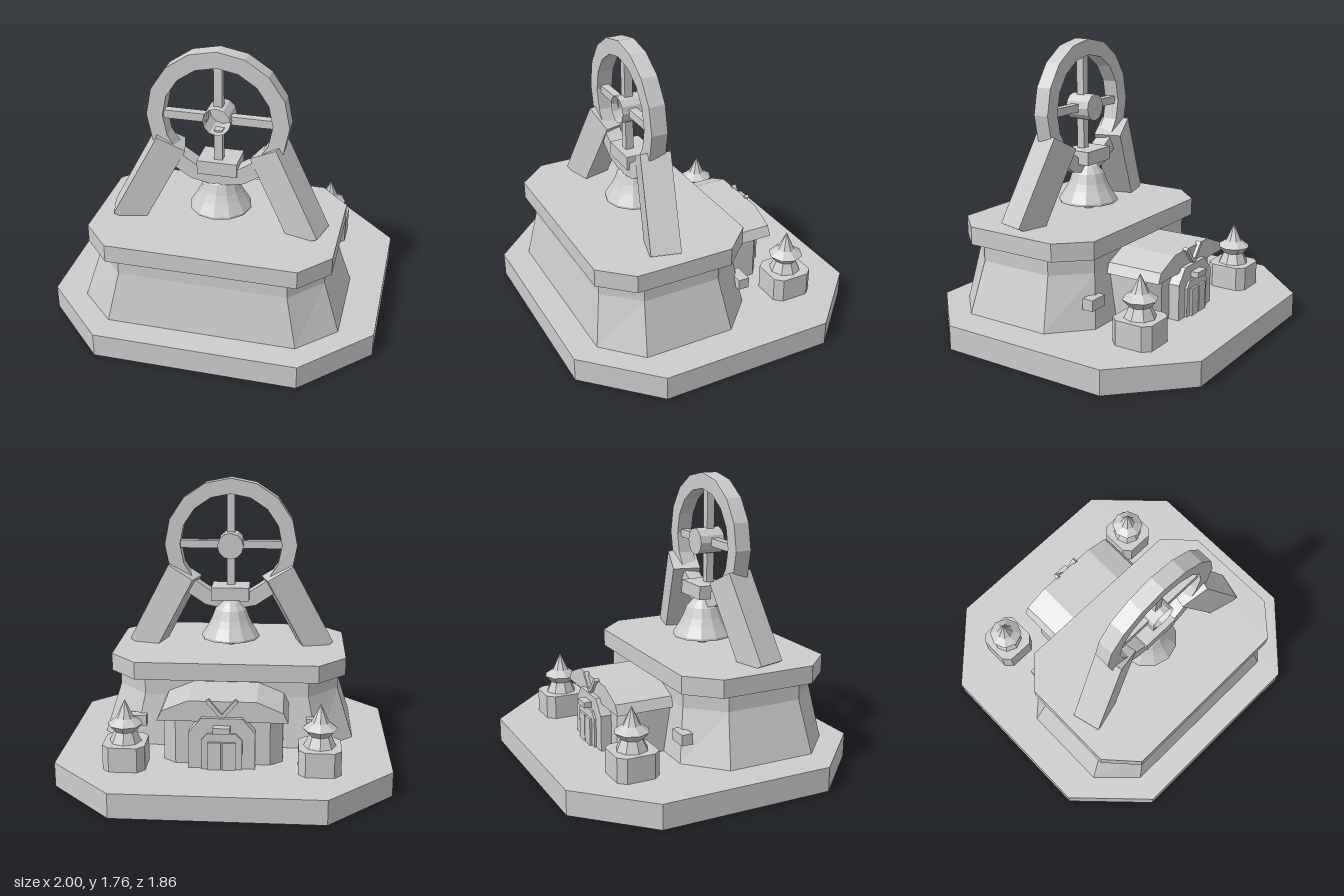
import * as THREE from 'three';

const stone = new THREE.MeshStandardMaterial({ color: 0xcccccc, flatShading: true, side: THREE.DoubleSide });
stone.name = 'grey stone';

function add(parent, name, geometry, x = 0, y = 0, z = 0) {
  const mesh = new THREE.Mesh(geometry, stone);
  mesh.name = name;
  mesh.position.set(x, y, z);
  parent.add(mesh);
  return mesh;
}

const box = (w, h, d) => new THREE.BoxGeometry(w, h, d);
// Faceted lathe: separate triangles keep every face flat
const lathe = (points, sides) =>
  new THREE.LatheGeometry(points.map(([r, y]) => new THREE.Vector2(r, y)), sides);

// Stacked chamfered rectangles; each layer: y, half width, half chamfer-start width,
// front z, front chamfer z, back chamfer z, back z
function chamferedStack(layers, openBelow = false) {
  const positions = [], index = [];
  for (const [y, w, c, f, fc, bc, b] of layers) {
    const ring = [[c, f], [w, fc], [w, bc], [c, b], [-c, b], [-w, bc], [-w, fc], [-c, f]];
    for (const [x, z] of ring) positions.push(x, y, z);
  }
  const top = (layers.length - 1) * 8;
  for (let l = 0; l < top; l += 8) {
    for (let i = 0; i < 8; i++) {
      const a = l + i, d = l + (i + 1) % 8;
      index.push(a, d, d + 8, a, d + 8, a + 8);
    }
  }
  for (let i = 1; i < 7; i++) {
    if (!openBelow) index.push(0, i + 1, i);
    index.push(top, top + i, top + i + 1);
  }
  const g = new THREE.BufferGeometry();
  g.setAttribute('position', new THREE.Float32BufferAttribute(positions, 3));
  g.setIndex(index);
  const flat = g.toNonIndexed();
  flat.computeVertexNormals();
  return flat;
}

// Outline in x and y, extruded along +z
function plate(points, depth, hole) {
  const toVec = (list) => list.map(([x, y]) => new THREE.Vector2(x, y));
  const shape = new THREE.Shape(toVec(points));
  if (hole) shape.holes.push(new THREE.Path(toVec(hole)));
  return new THREE.ExtrudeGeometry(shape, { depth, bevelEnabled: false });
}

const polygon = (r, n) => Array.from({ length: n }, (_, i) =>
  [r * Math.cos(i * 2 * Math.PI / n), r * Math.sin(i * 2 * Math.PI / n)]);

const arch = (w, c, y0, y1, y2) => [[-w, y0], [w, y0], [w, y1], [c, y2], [-c, y2], [-w, y1]];

function buildPedestal(group) {
  // The base is a shell, hollow underneath
  add(group, 'baseSlab', chamferedStack([0, 0.15].map(
    (y) => [y, 1, 0.61, 0.93, 0.535, -0.535, -0.93]), true));
  add(group, 'pedestal', chamferedStack([
    [0.15, 0.79, 0.57, 0.77, 0.555, 0, -0.21],
    [0.465, 0.69, 0.505, 0.72, 0.52, 0.04, -0.16],
    [0.57, 0.69, 0.505, 0.72, 0.52, 0.04, -0.16]], true));
  add(group, 'capSlab', chamferedStack([0.57, 0.68].map(
    (y) => [y, 0.735, 0.565, 0.765, 0.58, -0.02, -0.2])));
}

function buildWheel(group) {
  const wheel = new THREE.Group();
  wheel.name = 'wheel';
  wheel.position.set(0, 1.335, 0.28);
  group.add(wheel);
  add(wheel, 'rim', plate(polygon(0.422, 16), 0.1, polygon(0.325, 16)), 0, 0, -0.05);
  for (let i = 0; i < 4; i++) {
    const angle = i * Math.PI / 2;
    const spoke = add(wheel, 'spoke', box(0.27, 0.05, 0.05), 0.205 * Math.cos(angle), 0.205 * Math.sin(angle), 0);
    spoke.rotation.z = angle;
  }
  // Cup-shaped hub, open at the front
  const hub = lathe([[0, -0.082], [0.083, -0.082], [0.083, 0.082]], 12);
  add(wheel, 'hub', hub.rotateX(Math.PI / 2), 0, 0, -0.015);

  // Leaning legs that carry the wheel
  for (const side of [-1, 1]) {
    const leg = add(group, side > 0 ? 'leftLeg' : 'rightLeg', box(0.187, 0.58, 0.178), side * 0.43, 0.908, 0.299);
    leg.rotation.set(0, -side * 0.257, side * 0.497, 'YXZ');
  }
}

function buildBell(group) {
  add(group, 'bellYoke', box(0.24, 0.085, 0.19), 0, 1.031, 0.25);
  add(group, 'bell', lathe([[0.187, 0.735], [0.187, 0.748], [0.17, 0.775], [0.145, 0.815],
    [0.122, 0.86], [0.1, 0.92], [0.06, 0.965], [0, 0.99]], 12), 0, 0, 0.24);
  add(group, 'clapper', lathe([[0, 0.685], [0.03, 0.685], [0.017, 0.74], [0.01, 0.95]], 8), 0, 0, 0.24);
}

function buildGatehouse(group) {
  add(group, 'gatehouseBody', chamferedStack([0.15, 0.48].map(
    (y) => [y, 0.355, 0.28, -0.08, -0.081, -0.42, -0.48])));
  const roof = [[-0.385, 0.43], [0.385, 0.43], [0.355, 0.49], [0.2, 0.555], [-0.2, 0.555], [-0.355, 0.49]];
  add(group, 'gatehouseRoof', plate(roof, 0.4), 0, 0, -0.52);

  // Layered doorway
  add(group, 'doorSurround', plate(arch(0.195, 0.12, 0.15, 0.37, 0.46), 0.09), 0, 0, -0.547);
  add(group, 'doorFrame', plate(arch(0.12, 0.085, 0.15, 0.33, 0.37), 0.03), 0, 0, -0.56);
  for (const side of [-1, 1]) {
    add(group, 'doorLeaf', box(0.078, 0.17, 0.02), side * 0.043, 0.235, -0.564);
    // Chevron above the door
    const arm = add(group, 'chevronArm', box(0.022, 0.13, 0.03), side * 0.044, 0.515, -0.525);
    arm.rotation.z = -side * 0.7;
  }
  add(group, 'doorPlaque', box(0.1, 0.035, 0.05), 0, 0.4, -0.57);
}

function buildTurrets(group) {
  for (const side of [-1, 1]) {
    const turret = new THREE.Group();
    turret.name = side > 0 ? 'leftTurret' : 'rightTurret';
    turret.position.set(side * 0.57, 0, -0.515);
    group.add(turret);
    add(turret, 'turretBase', chamferedStack([0.15, 0.3].map(
      (y) => [y, 0.125, 0.083, 0.13, 0.085, -0.085, -0.13])));
    add(turret, 'turretSpire', lathe([[0.095, 0.3], [0.065, 0.365], [0.105, 0.408],
      [0.053, 0.445], [0, 0.555]], 8));
    add(group, 'wallBlock', box(0.125, 0.067, 0.07), side * 0.555, 0.31, -0.187);
  }
}

export function createModel() {
  const group = new THREE.Group();
  group.name = 'bellMonument';
  buildPedestal(group);
  buildWheel(group);
  buildBell(group);
  buildGatehouse(group);
  buildTurrets(group);
  return group;
}
